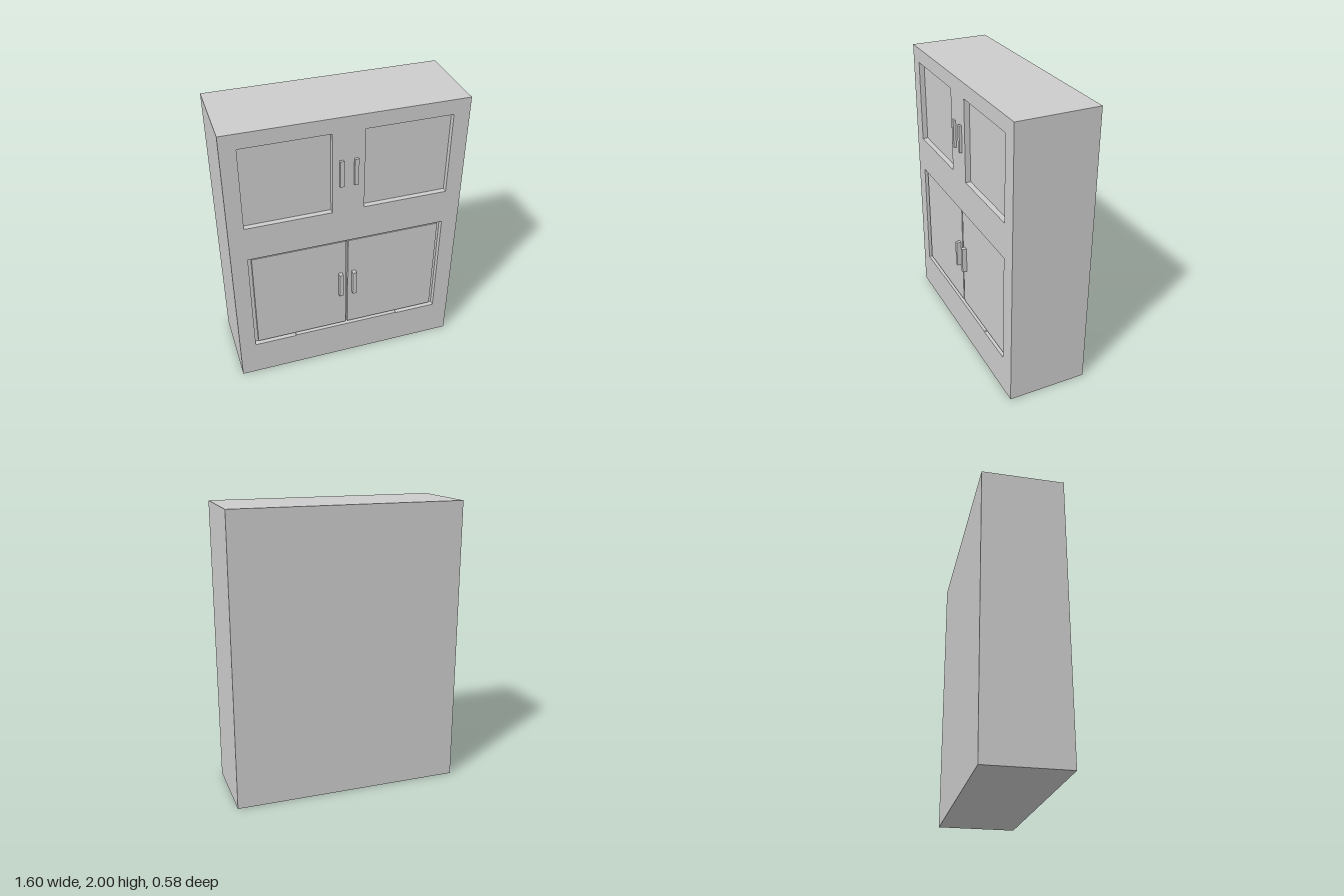
import * as THREE from 'three';

const material = new THREE.MeshStandardMaterial({ color: 0xcccccc, flatShading: true });
const BACK = -0.29, RECESS = 0.235, DOOR = 0.258, FRONT = 0.272, GRIP = 0.29;

// Box given by its limits on each axis
function box(name, x0, x1, y0, y1, z0, z1) {
  const mesh = new THREE.Mesh(new THREE.BoxGeometry(x1 - x0, y1 - y0, z1 - z0), material);
  mesh.position.set((x0 + x1) / 2, (y0 + y1) / 2, (z0 + z1) / 2);
  mesh.name = name;
  return mesh;
}

function outline(points) {
  return points.map(([x, y]) => new THREE.Vector2(x, y));
}

function rect(x0, x1, y0, y1) {
  return outline([[x0, y0], [x1, y0], [x1, y1], [x0, y1]]);
}

export function createModel() {
  const cabinet = new THREE.Group();
  cabinet.name = 'cabinet';

  // Solid carcass; its front is the floor of every recess
  cabinet.add(box('carcass', -0.8, 0.8, 0, 2, BACK, RECESS));

  // Front frame with two square panels and one wide door opening
  const frame = new THREE.Shape(rect(-0.8, 0.8, 0, 2));
  const doorOpening = outline([
    [-0.688, 0.27], [-0.39, 0.27], [-0.385, 0.275], [0.38, 0.275],
    [0.385, 0.27], [0.684, 0.27], [0.684, 1.06], [-0.688, 1.06],
  ]);
  frame.holes.push(
    new THREE.Path(rect(-0.694, -0.11, 1.312, 1.896)),
    new THREE.Path(rect(0.106, 0.69, 1.312, 1.896)),
    new THREE.Path(doorOpening),
  );
  const frontFrame = new THREE.Mesh(
    new THREE.ExtrudeGeometry(frame, { depth: FRONT - RECESS, bevelEnabled: false }), material);
  frontFrame.position.z = RECESS;
  frontFrame.name = 'frontFrame';
  cabinet.add(frontFrame);

  // Lower doors, set slightly back in their opening
  cabinet.add(box('rightDoor', -0.662, -0.009, 0.288, 1.042, RECESS, DOOR));
  cabinet.add(box('leftDoor', 0.005, 0.658, 0.288, 1.042, RECESS, DOOR));

  // Upper and lower pairs of upright handles
  for (const [level, y0, z0] of [['upper', 1.51, FRONT], ['lower', 0.578, DOOR]]) {
    cabinet.add(box(level + 'RightHandle', -0.064, -0.037, y0, y0 + 0.19, z0, GRIP));
    cabinet.add(box(level + 'LeftHandle', 0.033, 0.06, y0, y0 + 0.19, z0, GRIP));
  }
  return cabinet;
}
